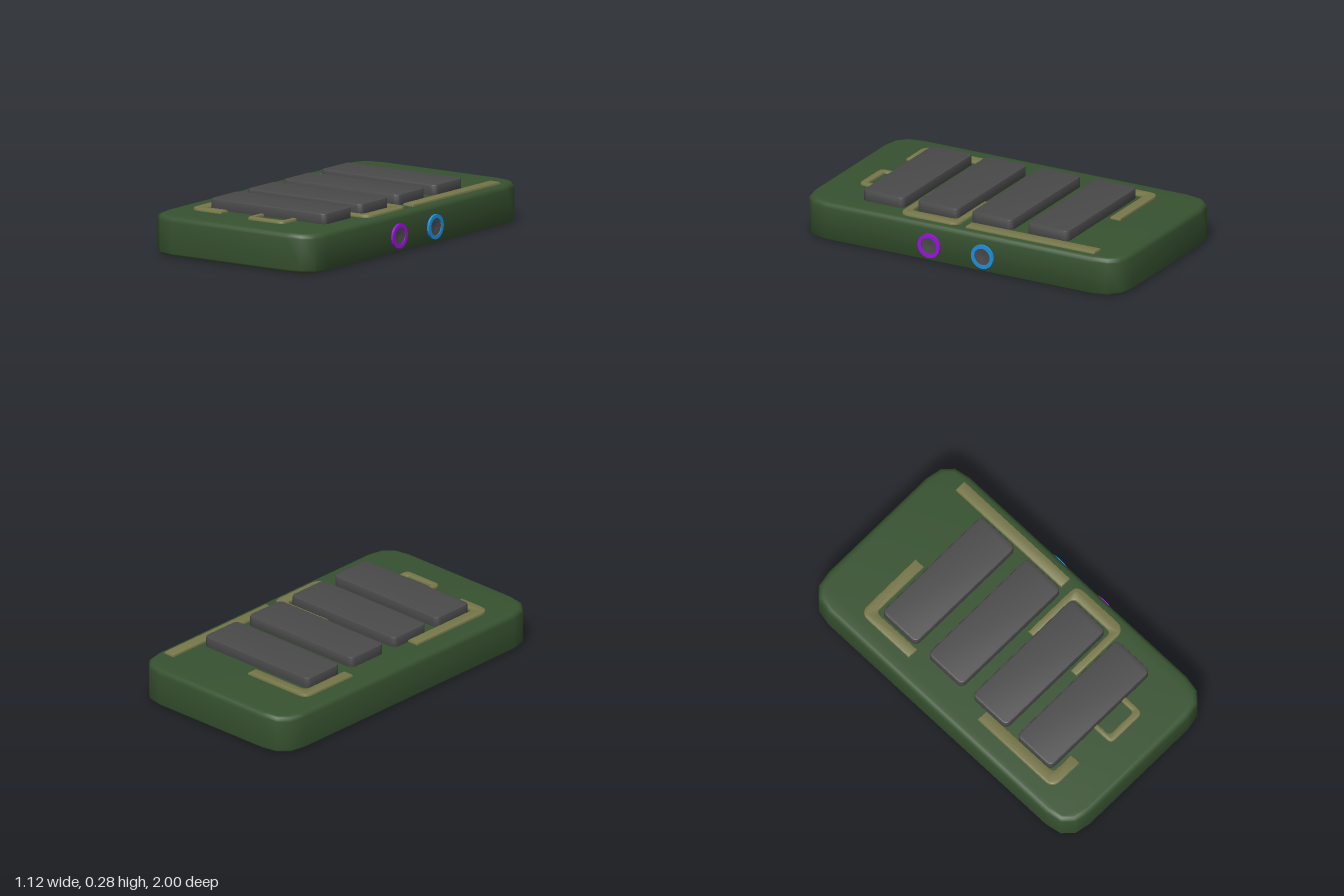
import * as THREE from 'three';
import { toCreasedNormals } from 'three/addons/utils/BufferGeometryUtils.js';

const paint = (color) => new THREE.MeshStandardMaterial({ color });

// Closed outline from [x, z, cornerRadius] points
function outline(points) {
  const shape = new THREE.Shape();
  const n = points.length;
  const at = (i) => new THREE.Vector2(points[(i + n) % n][0], -points[(i + n) % n][1]);
  points.forEach(([, , r = 0], i) => {
    const p = at(i);
    const a = at(i - 1).sub(p).setLength(r).add(p);
    const b = at(i + 1).sub(p).setLength(r).add(p);
    if (i === 0) shape.moveTo(a.x, a.y);
    else shape.lineTo(a.x, a.y);
    if (r > 0) shape.quadraticCurveTo(p.x, p.y, b.x, b.y);
  });
  shape.closePath();
  return shape;
}

// Horizontal bevelled plate lying between heights y0 and y1
function plateGeometry(points, y0, y1, bevel, bevelSegments, curveSegments) {
  const geometry = new THREE.ExtrudeGeometry(outline(points), {
    depth: y1 - y0 - 2 * bevel, curveSegments, bevelSegments,
    bevelThickness: bevel, bevelSize: bevel, bevelOffset: -bevel,
  });
  geometry.rotateX(-Math.PI / 2);
  geometry.translate(0, y0 + bevel, 0);
  return geometry;
}

const rectangle = (x0, x1, z0, z1, r) => [[x0, z0, r], [x1, z0, r], [x1, z1, r], [x0, z1, r]];

export function createModel() {
  const model = new THREE.Group();
  const add = (name, geometry, material) => {
    const mesh = new THREE.Mesh(geometry, material);
    mesh.name = name;
    model.add(mesh);
    return mesh;
  };

  // Board: thick rounded slab, with a flatter bevel underneath
  const board = plateGeometry(rectangle(-0.56, 0.545, -1, 1, 0.17), 0, 0.22, 0.03, 4, 3);
  const pos = board.attributes.position;
  for (let i = 0; i < pos.count; i++) {
    const y = pos.getY(i);
    if (y < 0.031) pos.setY(i, y * 0.6);
  }
  add('board', toCreasedNormals(board, 0.9), paint(0x375230));

  // Four memory chips
  const chipPaint = paint(0x4a4a4a);
  [-0.48, -0.13, 0.21, 0.55].forEach((z, i) => {
    const chip = plateGeometry(rectangle(-0.37, 0.41, z - 0.13, z + 0.13, 0.035), 0.21, 0.28, 0.008, 2, 4);
    add('chip' + (i + 1), toCreasedNormals(chip, 0.7), chipPaint);
  });

  // Raised circuit traces
  const tracePaint = paint(0x77774a);
  const traces = {
    backLeftTrace: [[-0.01, -0.705], [-0.445, -0.705, 0.06], [-0.445, -0.33], [-0.38, -0.33],
      [-0.38, -0.64, 0.03], [-0.01, -0.64]],
    straightTrace: rectangle(0.43, 0.5, -0.83, -0.02, 0),
    hookTrace: [[0.12, 0.03], [0.5, 0.03, 0.06], [0.5, 0.4, 0.06], [0.12, 0.4],
      [0.12, 0.355], [0.43, 0.355, 0.03], [0.43, 0.075, 0.03], [0.12, 0.075]],
    frontLeftTrace: [[-0.44, 0.19], [-0.37, 0.19], [-0.37, 0.7, 0.03], [-0.23, 0.7],
      [-0.23, 0.765], [-0.44, 0.765, 0.06]],
    loopTrace: [[-0.03, 0.66], [0.0, 0.66], [0.0, 0.767, 0.02], [0.185, 0.767, 0.02],
      [0.185, 0.66], [0.22, 0.66], [0.22, 0.81, 0.035], [-0.03, 0.81, 0.035]],
  };
  for (const [name, points] of Object.entries(traces)) {
    const trace = plateGeometry(points, 0.205, 0.235, 0.01, 2, 5);
    add(name, toCreasedNormals(trace, 0.7), tracePaint);
  }

  // Coloured sockets on the side: flat ring around a dark dished opening
  const darkPaint = new THREE.MeshStandardMaterial({ color: 0x4a4a4a, side: THREE.DoubleSide });
  const ringShape = new THREE.Shape().absarc(0, 0, 0.069, 0, Math.PI * 2);
  ringShape.holes.push(new THREE.Path().absarc(0, 0, 0.048, 0, Math.PI * 2, true));
  const ringGeometry = new THREE.ExtrudeGeometry(ringShape, { depth: 0.017, bevelEnabled: false, curveSegments: 32 });
  ringGeometry.rotateY(Math.PI / 2);
  const dishGeometry = new THREE.LatheGeometry(
    [new THREE.Vector2(0, 0.006), new THREE.Vector2(0.048, 0.012)], 32);
  dishGeometry.rotateZ(-Math.PI / 2);
  for (const [name, z, color] of [['purpleSocket', 0.18, 0x9a10e0], ['blueSocket', -0.155, 0x1a8fe0]]) {
    add(name + 'Ring', toCreasedNormals(ringGeometry, 0.6), paint(color)).position.set(0.541, 0.095, z);
    add(name + 'Opening', dishGeometry, darkPaint).position.set(0.541, 0.095, z);
  }

  return model;
}
